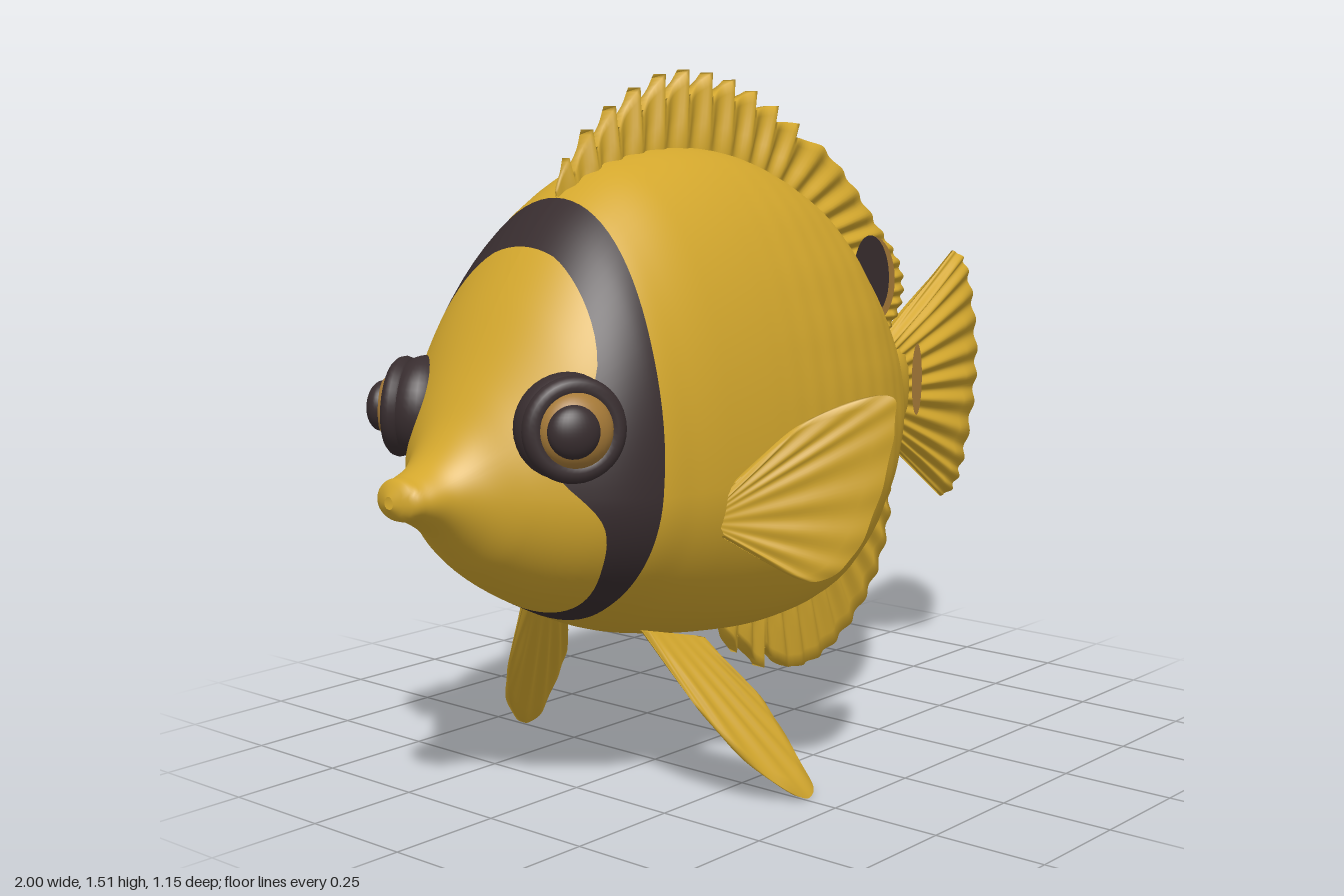
import * as THREE from 'three';

const mat = (name, color) => {
  const m = new THREE.MeshStandardMaterial({ color, side: THREE.DoubleSide });
  m.name = name;
  return m;
};

// Body stations: x, top y, bottom y, height of the widest point, half width
const STATIONS = [
  [-1.0, 0.705, 0.68, 0.69, 0.012], [-0.985, 0.733, 0.657, 0.692, 0.05], [-0.955, 0.738, 0.648, 0.692, 0.066],
  [-0.9, 0.765, 0.615, 0.692, 0.085], [-0.85, 0.82, 0.57, 0.693, 0.12], [-0.8, 0.9, 0.525, 0.694, 0.18],
  [-0.7, 1.07, 0.455, 0.69, 0.285], [-0.6, 1.2, 0.4, 0.685, 0.335], [-0.5, 1.28, 0.355, 0.68, 0.345],
  [-0.4, 1.325, 0.325, 0.68, 0.35], [-0.2, 1.35, 0.288, 0.68, 0.35], [0, 1.325, 0.27, 0.68, 0.338],
  [0.2, 1.24, 0.29, 0.69, 0.3], [0.3, 1.155, 0.355, 0.7, 0.26], [0.4, 1.045, 0.45, 0.72, 0.205],
  [0.5, 0.92, 0.565, 0.735, 0.13], [0.55, 0.872, 0.615, 0.74, 0.09], [0.6, 0.852, 0.638, 0.745, 0.06],
  [0.66, 0.85, 0.635, 0.745, 0.035], [0.7, 0.81, 0.68, 0.745, 0.01],
];

// Smooth interpolation through rows whose first entry is the key
function sample(rows, k) {
  let i = 0;
  while (i < rows.length - 2 && k > rows[i + 1][0]) i++;
  const at = (n) => rows[Math.max(0, Math.min(rows.length - 1, n))];
  const [p, a, b, q] = [at(i - 1), at(i), at(i + 1), at(i + 2)];
  const h = b[0] - a[0], t = THREE.MathUtils.clamp((k - a[0]) / h, 0, 1);
  return a.slice(1).map((av, n) => {
    const c = n + 1;
    const ma = ((b[c] - p[c]) / (b[0] - p[0])) * h, mb = ((q[c] - a[c]) / (q[0] - a[0])) * h;
    return av * (2 * t ** 3 - 3 * t * t + 1) + ma * (t ** 3 - 2 * t * t + t)
      + b[c] * (3 * t * t - 2 * t ** 3) + mb * (t ** 3 - t * t);
  });
}

function bodyPoint(x, angle) {
  const [top, bottom, mid, w] = sample(STATIONS, x);
  const s = Math.sin(angle);
  // Faint overlapping scale bumps along the flank
  const fade = THREE.MathUtils.smoothstep(x, -0.3, 0) * (1 - THREE.MathUtils.smoothstep(x, 0.3, 0.5));
  const y = mid + s * (s > 0 ? top - mid : mid - bottom);
  const bump = 1 + 0.006 * fade * Math.sin(42 * x + 26 * y) * Math.sin(42 * x - 26 * y);
  return [x, y, w * Math.cos(angle) * bump];
}

function halfWidth(x, y) {
  const [top, bottom, mid, w] = sample(STATIONS, x);
  const r = (y - mid) / (y > mid ? top - mid : mid - bottom);
  return w * Math.sqrt(Math.max(0, 1 - r * r));
}

// Surface over a grid; pick(i, j) chooses the material slot of each cell
function gridGeometry(cols, rows, point, pick = () => 0) {
  const pos = [], slots = [[], []];
  for (let i = 0; i <= cols; i++) for (let j = 0; j <= rows; j++) pos.push(...point(i, j));
  for (let i = 0; i < cols; i++) for (let j = 0; j < rows; j++) {
    const a = i * (rows + 1) + j, b = a + rows + 1;
    slots[pick(i, j)].push(a, a + 1, b, b, a + 1, b + 1);
  }
  const g = new THREE.BufferGeometry();
  g.setAttribute('position', new THREE.Float32BufferAttribute(pos, 3));
  g.setIndex([...slots[0], ...slots[1]]);
  g.addGroup(0, slots[0].length, 0);
  if (slots[1].length) g.addGroup(slots[0].length, slots[1].length, 1);
  g.computeVertexNormals();
  return g;
}

// Section of the body between two edges given as functions of the angle
const bodySection = (from, to, cols) => gridGeometry(cols, 96, (i, j) => {
  const a = Math.PI / 2 - (j / 96) * Math.PI * 2;
  return bodyPoint(THREE.MathUtils.lerp(from(a), to(a), i / cols), a);
});

// Rayed fin between a base curve and an outer curve, with optional spines
function finGeometry({ base, outer, cols = 120, thick, edge = 0.4, rays, teeth = 0, toothEnd = 0, depth = 0, rimFrom = 2, z = () => 0 }) {
  const curve = (pts) => new THREE.SplineCurve(pts.map((p) => new THREE.Vector2(...p)));
  const cb = curve(base), co = curve(outer), M = 8;
  return gridGeometry(cols, 2 * M + 1, (i, j) => {
    const u = i / cols, front = j <= M, v = (front ? j : 2 * M + 1 - j) / M;
    let reach = 1;
    if (u < toothEnd) {
      const k = (u / toothEnd) * teeth;
      reach -= depth * (1 - 0.6 * u / toothEnd) * (1 - (k - Math.floor(k)));
    }
    const p = cb.getPoint(u).lerp(co.getPoint(u), v * reach);
    const ripple = 0.72 + 0.28 * Math.cos(u * rays * Math.PI * 2) * Math.min(1, v * 2);
    const ends = Math.min(1, 0.1 + Math.min(u, 1 - u) * 14);
    const t = thick * ripple * ends * (1 - (1 - edge) * v * v);
    return [p.x, p.y, z(p.x, p.y) + (front ? t : -t)];
  }, (i, j) => (j === M && i / cols > rimFrom ? 1 : 0));
}

// Thin painted oval that hugs the body or fin on one side
const patchGeometry = (cx, cy, rx, ry, tilt, lift, side) => gridGeometry(8, 40, (i, j) => {
  const a = (j / 40) * Math.PI * 2, r = i / 8;
  const px = rx * r * Math.cos(a), py = ry * r * Math.sin(a);
  const x = cx + px * Math.cos(tilt) - py * Math.sin(tilt), y = cy + px * Math.sin(tilt) + py * Math.cos(tilt);
  return [x, y, side * (Math.max(0.03, halfWidth(x, y)) + lift)];
});

export function createModel() {
  const yellow = mat('golden yellow', 0xd3a72d);
  const dark = mat('dark brown black', 0x382d2f);
  const brown = mat('tan brown', 0xa67a38);
  const model = new THREE.Group();
  const add = (name, geometry, material, parent = model) => {
    const m = new THREE.Mesh(geometry, material);
    m.name = name;
    parent.add(m);
    return m;
  };

  // Head, dark eye band and body share the same surface
  const FRONT = [[0.38, -0.62], [0.5, -0.67], [0.62, -0.7], [0.72, -0.75], [0.83, -0.77], [0.92, -0.74], [1.0, -0.68], [1.2, -0.635]];
  const BACK = [[0.38, -0.57], [0.45, -0.595], [0.6, -0.6], [0.8, -0.585], [1.0, -0.57], [1.25, -0.535]];
  const heightAt = (a) => 0.69 + Math.sin(a) * (Math.sin(a) > 0 ? 0.53 : 0.3);
  const frontEdge = (a) => sample(FRONT, heightAt(a))[0];
  const backEdge = (a) => sample(BACK, heightAt(a))[0];
  add('head', bodySection(() => -1, frontEdge, 40), yellow);
  add('eyeBand', bodySection(frontEdge, backEdge, 14), dark);
  add('body', bodySection(backEdge, () => 0.7, 110), yellow);

  // Fins on the centre line
  add('dorsalFin', finGeometry({
    base: [[-0.53, 1.22], [-0.3, 1.29], [0, 1.28], [0.2, 1.19], [0.35, 1.06], [0.45, 0.94], [0.52, 0.86]],
    outer: [[-0.55, 1.3], [-0.4, 1.43], [-0.2, 1.515], [0, 1.5], [0.2, 1.42], [0.4, 1.29], [0.55, 1.15],
      [0.645, 1.05], [0.655, 0.96], [0.6, 0.89], [0.54, 0.865]],
    cols: 260, thick: 0.034, edge: 0.55, rays: 26, teeth: 12, toothEnd: 0.46, depth: 0.42, rimFrom: 0.55,
  }), [yellow, brown]);
  add('analFin', finGeometry({
    base: [[-0.04, 0.31], [0.1, 0.33], [0.25, 0.4], [0.35, 0.48], [0.45, 0.57], [0.52, 0.64]],
    outer: [[-0.05, 0.27], [0.06, 0.16], [0.19, 0.12], [0.32, 0.12], [0.45, 0.18], [0.56, 0.29], [0.612, 0.43], [0.6, 0.55], [0.55, 0.62]],
    cols: 180, thick: 0.034, edge: 0.6, rays: 16, teeth: 3, toothEnd: 0.27, depth: 0.5, rimFrom: 0.3,
  }), [yellow, brown]);
  add('tailFin', finGeometry({
    base: [[0.56, 0.84], [0.565, 0.745], [0.56, 0.65]],
    outer: [[0.9, 1.07], [0.94, 1.03], [0.975, 0.93], [0.995, 0.8], [0.985, 0.68], [0.95, 0.55], [0.91, 0.47], [0.86, 0.435]],
    cols: 150, thick: 0.034, edge: 0.6, rays: 12, rimFrom: 0.05,
  }), [yellow, brown]);

  for (const side of [1, -1]) {
    const label = side > 0 ? 'left' : 'right';

    // Paired fins
    add(label + 'PectoralFin', finGeometry({
      base: [[-0.42, 0.66], [-0.43, 0.62], [-0.42, 0.58]],
      outer: [[-0.39, 0.7], [-0.29, 0.81], [-0.17, 0.86], [-0.158, 0.79], [-0.18, 0.65], [-0.22, 0.53], [-0.28, 0.48], [-0.36, 0.53]],
      cols: 80, thick: 0.014, rays: 9, z: (x) => side * (0.335 + (x + 0.42) * 0.89),
    }), yellow);
    add(label + 'PelvicFin', finGeometry({
      base: [[-0.48, 0.37], [-0.4, 0.35], [-0.32, 0.33]],
      outer: [[-0.43, 0.22], [-0.36, 0.1], [-0.26, 0.01], [-0.21, 0.02], [-0.22, 0.12], [-0.24, 0.2], [-0.29, 0.27]],
      cols: 70, thick: 0.018, rays: 6, z: (x, y) => side * (0.2 + (0.33 - y) * 0.66),
    }), yellow);

    // False eye spot on the dorsal fin and the mark on the tail
    add(label + 'SpotHalo', patchGeometry(0.507, 1.022, 0.087, 0.105, 0.2, 0.006, side), brown);
    add(label + 'Spot', patchGeometry(0.492, 1.034, 0.07, 0.097, 0.2, 0.011, side), dark);
    add(label + 'TailMark', patchGeometry(0.695, 0.76, 0.022, 0.09, 0, 0.006, side), brown);

    // Bulging eye, turned slightly forwards
    const eye = new THREE.Group();
    eye.name = label + 'Eye';
    eye.position.set(-0.722, 0.825, side * 0.205);
    eye.lookAt(-0.722 - 0.5, 0.825 + 0.05, side * (0.205 + 0.85));
    model.add(eye);
    const ball = (name, r, depth, x, z, m) => {
      const b = add(name, new THREE.SphereGeometry(r, 32, 20), m, eye);
      b.scale.z = depth / r;
      b.position.set(x, 0, z);
    };
    ball('socket', 0.108, 0.075, 0, 0, dark);
    add('eyelid', new THREE.TorusGeometry(0.082, 0.022, 12, 40), dark, eye).position.z = 0.045;
    ball('iris', 0.075, 0.05, 0, 0.052, brown);
    ball('pupil', 0.052, 0.03, -side * 0.012, 0.086, dark);
  }
  return model;
}
